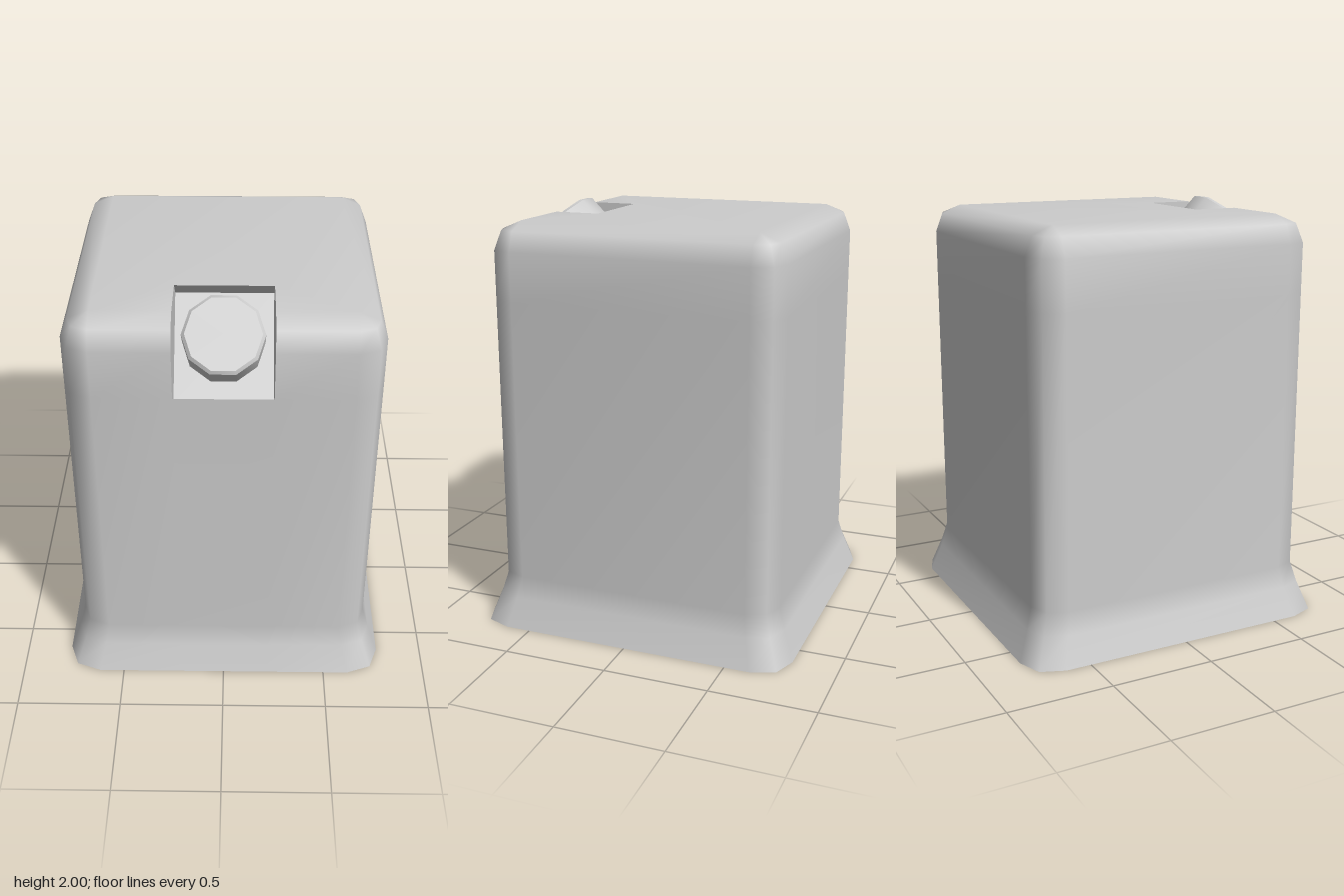
import * as THREE from 'three';
import { mergeVertices, toCreasedNormals } from 'three/addons/utils/BufferGeometryUtils.js';

const NOTCH = 0.22; // half width of the notch
const material = new THREE.MeshStandardMaterial({ color: 0xcccccc, side: THREE.DoubleSide });
const flatMaterial = new THREE.MeshStandardMaterial({ color: 0xcccccc, side: THREE.DoubleSide, flatShading: true });

function toGeometry(positions) {
  const g = new THREE.BufferGeometry();
  g.setAttribute('position', new THREE.Float32BufferAttribute(positions, 3));
  return g;
}

// Two triangles a-b-c-d, leaving out collapsed ones
function addQuad(out, a, b, c, d) {
  const same = (p, q) => p.every((v, i) => Math.abs(v - q[i]) < 1e-4);
  for (const [p, q, r] of [[a, b, c], [a, c, d]]) {
    if (!same(p, q) && !same(q, r) && !same(p, r)) out.push(...p, ...q, ...r);
  }
}

// Square cross-section with three-point corners, starting along the front edge
function ring(y, half, core) {
  const mid = core + 0.73 * (half - core);
  const corner = [[core, half], [mid, mid], [half, core]];
  const points = [[-NOTCH, y, half], [NOTCH, y, half]];
  for (let k = 0; k < 4; k++) {
    for (const [x, z] of corner) {
      const [px, pz] = [[x, z], [z, -x], [-x, -z], [-z, x]][k];
      points.push([px, y, pz]);
    }
  }
  return points;
}

// Hollow body: flared skirt, straight walls, rounded shoulders, notched top
function bodyGeometry() {
  const levels = [
    [0, 0.78, 0.62], [0.14, 0.729, 0.586], [0.24, 0.7, 0.57], [1.6, 0.7, 0.57],
    [1.83, 0.7, 0.57], [1.92, 0.665, 0.57], [1.96, 0.57, 0.57],
  ];
  const rings = levels.map((l) => ring(...l));
  const out = [];
  for (let j = 0; j < rings.length - 1; j++) {
    const n = rings[j].length;
    for (let i = 0; i < n; i++) {
      if (i === 0 && levels[j][0] >= 1.6) continue; // opening of the notch
      const k = (i + 1) % n;
      addQuad(out, rings[j][i], rings[j][k], rings[j + 1][k], rings[j + 1][i]);
    }
  }
  // Top face, cut out around the notch
  const c = 0.57;
  const outline = [
    [-c, -c], [-NOTCH, -c], [-NOTCH, -0.35], [NOTCH, -0.35], [NOTCH, -c], [c, -c], [c, c], [-c, c],
  ].map(([x, y]) => new THREE.Vector2(x, y));
  for (const face of THREE.ShapeUtils.triangulateShape(outline, [])) {
    for (const i of face) out.push(outline[i].x, 1.96, -outline[i].y);
  }
  const g = mergeVertices(toGeometry(out), 1e-3);
  g.computeVertexNormals();
  return g;
}

// Recess tilted 45 degrees: three walls across x and two side cheeks
function notchGeometry() {
  const profile = [[0.7, 1.6], [0.62, 1.52], [0.27, 1.88], [0.35, 1.96]]; // z, y
  const shoulder = [[0.57, 1.96], [0.665, 1.92], [0.7, 1.83]];
  const out = [];
  for (let i = 0; i < 3; i++) {
    const [[z0, y0], [z1, y1]] = [profile[i], profile[i + 1]];
    addQuad(out, [-NOTCH, y0, z0], [NOTCH, y0, z0], [NOTCH, y1, z1], [-NOTCH, y1, z1]);
  }
  const cheek = [...profile, ...shoulder].map(([z, y]) => new THREE.Vector2(z, y));
  for (const face of THREE.ShapeUtils.triangulateShape(cheek, [])) {
    for (const side of [-1, 1]) {
      const order = side < 0 ? [...face].reverse() : face;
      for (const i of order) out.push(side * NOTCH, cheek[i].y, cheek[i].x);
    }
  }
  const g = toGeometry(out);
  g.computeVertexNormals();
  return g;
}

// Ten-sided button with a slightly bevelled cap
function buttonGeometry() {
  const profile = [[0, 0], [0.18, 0], [0.18, 0.139], [0.166, 0.153], [0, 0.153]]
    .map(([r, y]) => new THREE.Vector2(r, y));
  return toCreasedNormals(new THREE.LatheGeometry(profile, 10, Math.PI / 2), 0.7);
}

export function createModel() {
  const group = new THREE.Group();
  const add = (name, geometry, mat) => {
    const mesh = new THREE.Mesh(geometry, mat);
    mesh.name = name;
    group.add(mesh);
    return mesh;
  };
  add('body', bodyGeometry(), material);
  add('notch', notchGeometry(), flatMaterial);
  const button = add('button', buttonGeometry(), material);
  button.position.set(0, 1.781, 0.531);
  button.rotation.x = Math.PI / 4;
  return group;
}
